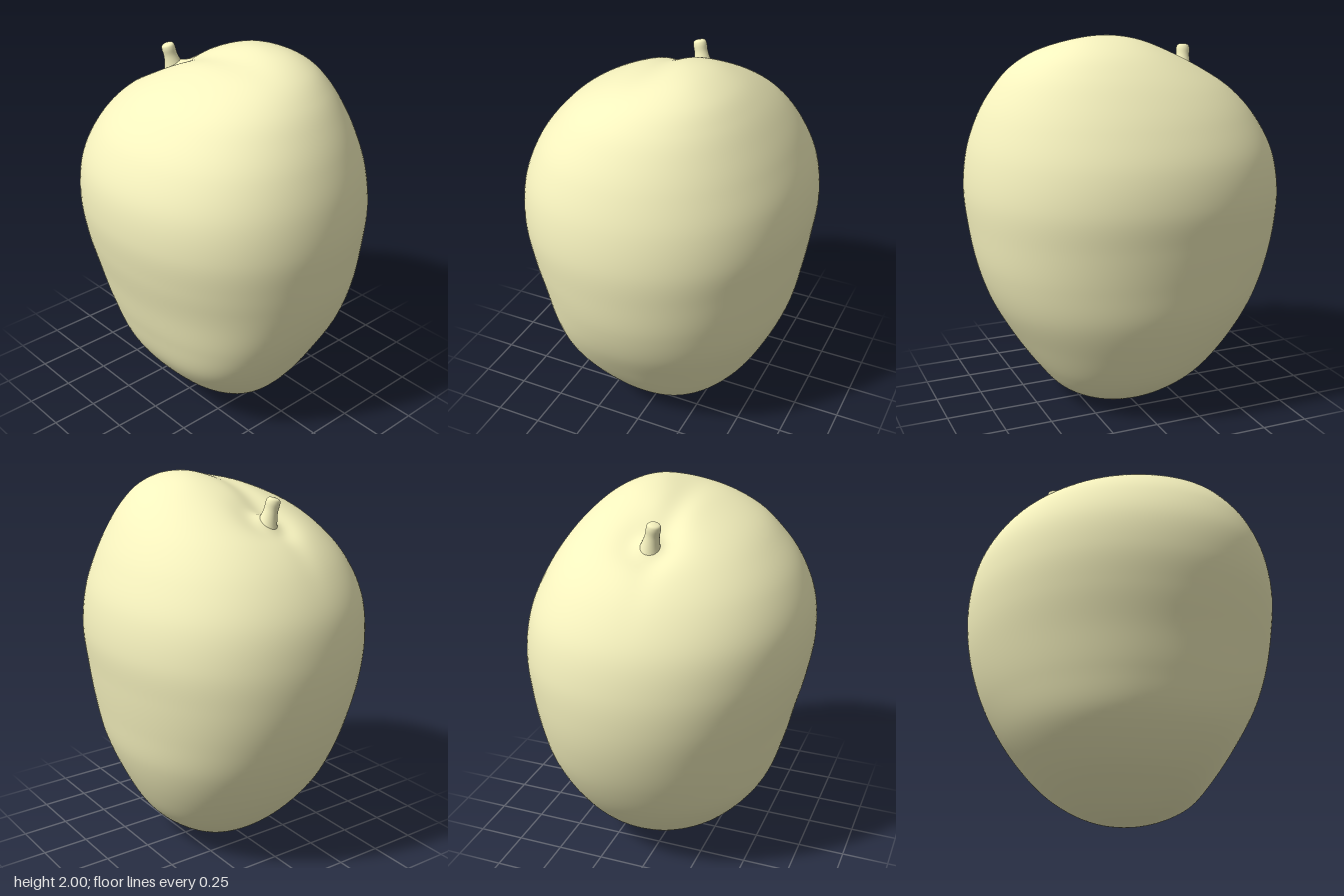
import * as THREE from 'three';
import { mergeVertices } from 'three/addons/utils/BufferGeometryUtils.js';

// Cross-sections from bottom to top: y, x min, x max, z back, z front
const SECTIONS = [
  [0, 0.02, 0.02, -0.04, -0.04],
  [0.025, -0.13, 0.2, -0.19, 0.1],
  [0.1, -0.29, 0.365, -0.33, 0.24],
  [0.22, -0.44, 0.475, -0.455, 0.395],
  [0.4, -0.59, 0.595, -0.56, 0.53],
  [0.6, -0.705, 0.705, -0.64, 0.6],
  [0.8, -0.78, 0.775, -0.68, 0.65],
  [1.0, -0.82, 0.81, -0.71, 0.7],
  [1.2, -0.825, 0.825, -0.73, 0.73],
  [1.4, -0.785, 0.8, -0.705, 0.715],
  [1.58, -0.685, 0.74, -0.635, 0.64],
  [1.72, -0.55, 0.665, -0.555, 0.53],
  [1.83, -0.38, 0.58, -0.47, 0.4],
  [1.92, -0.19, 0.465, -0.37, 0.21],
  [1.98, -0.02, 0.31, -0.25, -0.01],
  [2.0, 0.14, 0.14, -0.13, -0.13],
];

const bump = (d, width) => Math.exp(-((d / width) ** 2));

// Catmull-Rom between sections; past a pole the section continues mirrored
function sectionAt(u) {
  const last = SECTIONS.length - 1;
  const get = (i) => {
    if (i >= 0 && i <= last) return SECTIONS[i];
    const [y, l, r, b, f] = SECTIONS[i < 0 ? -i : 2 * last - i];
    return [y, r, l, f, b];
  };
  const i = Math.min(Math.floor(u), last - 1), t = u - i;
  const [p, q, r, s] = [get(i - 1), get(i), get(i + 1), get(i + 2)];
  return q.map((v, k) => v + 0.5 * t * (r[k] - p[k]
    + t * (2 * p[k] - 5 * v + 4 * r[k] - s[k] + t * (3 * (v - r[k]) + s[k] - p[k]))));
}

function fruitGeometry(rows = 120, cols = 128) {
  const pos = [], index = [];
  for (let i = 0; i <= rows; i++) {
    const [y0, l, r, b, f] = sectionAt((i / rows) * (SECTIONS.length - 1));
    const low = 1 - THREE.MathUtils.smoothstep(y0, 0.3, 0.9);
    for (let j = 0; j < cols; j++) {
      const a = (j / cols) * Math.PI * 2;
      // slightly squared oval, fuller at the lower front left
      const diagonal = Math.sin(2 * a) ** 2;
      const corner = a < Math.PI / 2 ? 0.06 * low : 0;
      const full = 1 + (0.02 + corner) * diagonal;
      const dz = full * Math.sin(a) * (f - b) / 2;
      // a slight shear turns the oval cross-section
      const x = (l + r) / 2 + full * Math.cos(a) * (r - l) / 2 + 0.075 * dz;
      const z = (b + f) / 2 + dz;
      let y = y0;
      if (y > 1.3) {
        // hollow around the stem, swelling at its root, groove across the shoulder
        const top = THREE.MathUtils.smoothstep(y, 1.3, 1.65);
        const d = Math.hypot(x + 0.365, z - 0.01);
        y += top * (0.05 * bump(d, 0.065) - 0.05 * bump(d, 0.14));
        y -= top * 0.018 * bump(z - 0.05, 0.07) * bump(x + 0.2, 0.36);
      }
      pos.push(x, y, z);
      if (i < rows) {
        const p = i * cols + j, q = i * cols + (j + 1) % cols;
        index.push(p, p + cols, q, q, p + cols, q + cols);
      }
    }
  }
  const geo = new THREE.BufferGeometry();
  geo.setAttribute('position', new THREE.Float32BufferAttribute(pos, 3));
  geo.setIndex(index);
  const merged = mergeVertices(geo, 1e-5);
  merged.computeVertexNormals();
  return merged;
}

export function createModel() {
  const group = new THREE.Group();
  group.name = 'fruit';
  const skin = new THREE.MeshStandardMaterial({ color: 0xf6f2be });

  const body = new THREE.Mesh(fruitGeometry(), skin);
  body.name = 'body';
  group.add(body);

  // Short stem, flared at the base with a blunt tip
  const profile = new THREE.SplineCurve([
    [0.09, -0.03], [0.063, 0.03], [0.046, 0.08], [0.036, 0.13],
    [0.036, 0.17], [0.028, 0.19], [0, 0.195],
  ].map(([r, y]) => new THREE.Vector2(r, y)));
  const stem = new THREE.Mesh(new THREE.LatheGeometry(profile.getPoints(30), 28), skin);
  stem.name = 'stem';
  stem.position.set(-0.36, 1.735, 0.0);
  stem.rotation.set(0.22, 0, 0.13);
  group.add(stem);

  return group;
}
